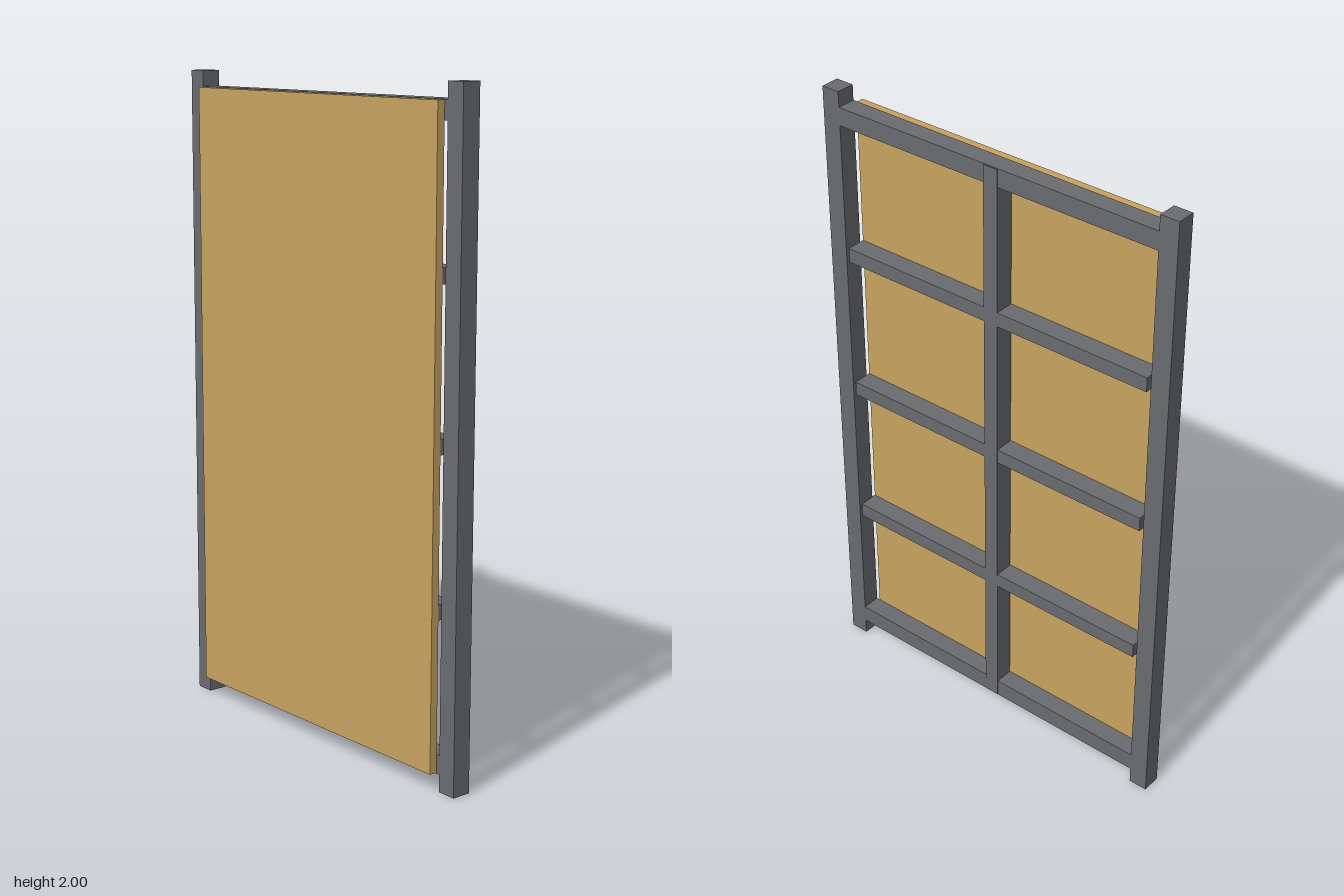
import * as THREE from 'three';

export function createModel() {
  const model = new THREE.Group();
  const steel = new THREE.MeshStandardMaterial({ color: 0x6a6c70 });
  steel.name = 'grey steel';
  const wood = new THREE.MeshStandardMaterial({ color: 0xc8a360 });
  wood.name = 'plywood tan';

  // Box given by its min and max on each axis
  function bar(name, material, [x0, x1], [y0, y1], [z0, z1]) {
    const mesh = new THREE.Mesh(new THREE.BoxGeometry(x1 - x0, y1 - y0, z1 - z0), material);
    mesh.position.set((x0 + x1) / 2, (y0 + y1) / 2, (z0 + z1) / 2);
    mesh.name = name;
    model.add(mesh);
  }

  const depth = [-0.02, 0.04];

  // Facing sheet behind the frame
  bar('panel', wood, [-0.045, -0.02], [0.055, 1.95], [-0.54, 0.54]);

  // End posts
  bar('frontPost', steel, depth, [0, 2], [0.552, 0.612]);
  bar('backPost', steel, depth, [0, 2], [-0.612, -0.552]);

  // Top and bottom rails between the posts
  bar('topRail', steel, depth, [1.895, 1.952], [-0.552, 0.552]);
  bar('bottomRail', steel, depth, [0.052, 0.11], [-0.552, 0.552]);

  // Centre stud, slightly proud of the rails
  bar('centreStud', steel, [-0.02, 0.043], [0.055, 1.95], [-0.024, 0.024]);

  // Cross ribs, stopping just short of the posts
  for (const y of [0.53, 1.004, 1.478]) {
    bar('crossRib', steel, [-0.02, 0.042], [y - 0.023, y + 0.023], [-0.54, 0.54]);
  }

  return model;
}
